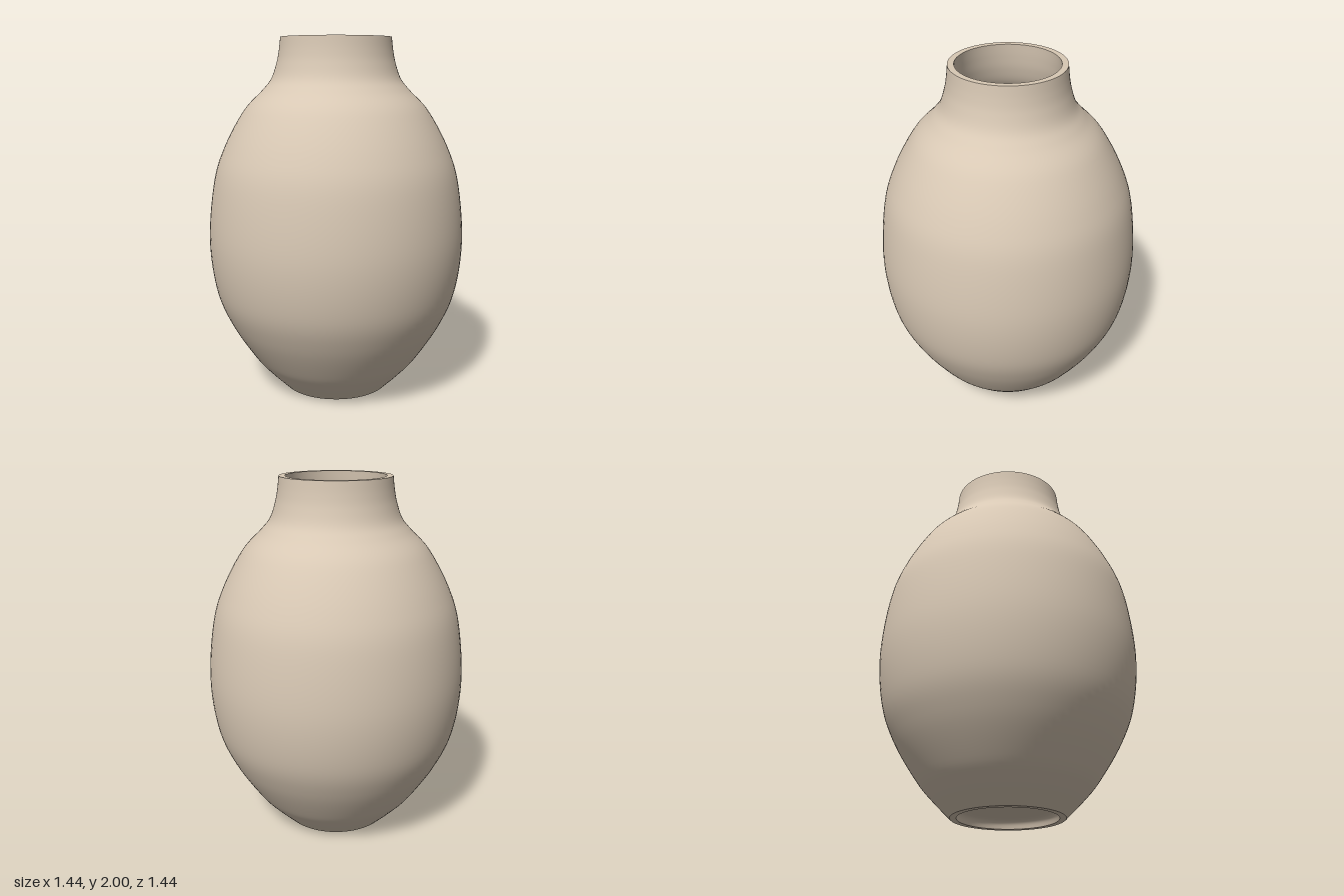
import * as THREE from 'three';

const SEGMENTS = 96;

export function createModel() {
  const group = new THREE.Group();
  group.name = 'vase';
  const clay = new THREE.MeshStandardMaterial({ color: 0xd8c8b4 });
  clay.name = 'beige clay';

  const points = (list) => list.map(([r, y]) => new THREE.Vector2(r, y));
  const smooth = (list, n) => new THREE.SplineCurve(points(list)).getPoints(n);

  // Each section is its own lathe, so its borders stay sharp
  const addLathe = (name, profile) => {
    const mesh = new THREE.Mesh(new THREE.LatheGeometry(profile, SEGMENTS), clay);
    mesh.name = name;
    group.add(mesh);
  };

  // Outer wall: egg-shaped belly, concave shoulder, short neck
  addLathe('outerWall', smooth([
    [0.305, 0], [0.405, 0.1], [0.49, 0.2], [0.615, 0.4], [0.692, 0.6],
    [0.722, 0.88], [0.69, 1.2], [0.626, 1.4], [0.515, 1.6], [0.412, 1.71],
    [0.36, 1.775], [0.33, 1.86], [0.316, 1.93], [0.308, 2],
  ], 90));

  // Flat lip
  addLathe('lip', points([[0.308, 2], [0.274, 2]]));

  // Inner wall curving into the floor
  const innerWall = smooth([
    [0.274, 2], [0.281, 1.93], [0.295, 1.85], [0.325, 1.765], [0.383, 1.69],
    [0.485, 1.58], [0.592, 1.39], [0.654, 1.19], [0.686, 0.88], [0.656, 0.6],
    [0.578, 0.4], [0.444, 0.2], [0.34, 0.11], [0.22, 0.085],
  ], 80);
  addLathe('innerWall', [...innerWall, new THREE.Vector2(0, 0.085)]);

  // Recessed underside with a rounded edge
  addLathe('underside', [
    new THREE.Vector2(0, 0.05),
    ...smooth([[0.225, 0.05], [0.248, 0.043], [0.263, 0.026], [0.27, 0]], 12),
  ]);

  // Foot ring it stands on
  addLathe('footRing', points([[0.27, 0], [0.305, 0]]));

  return group;
}
